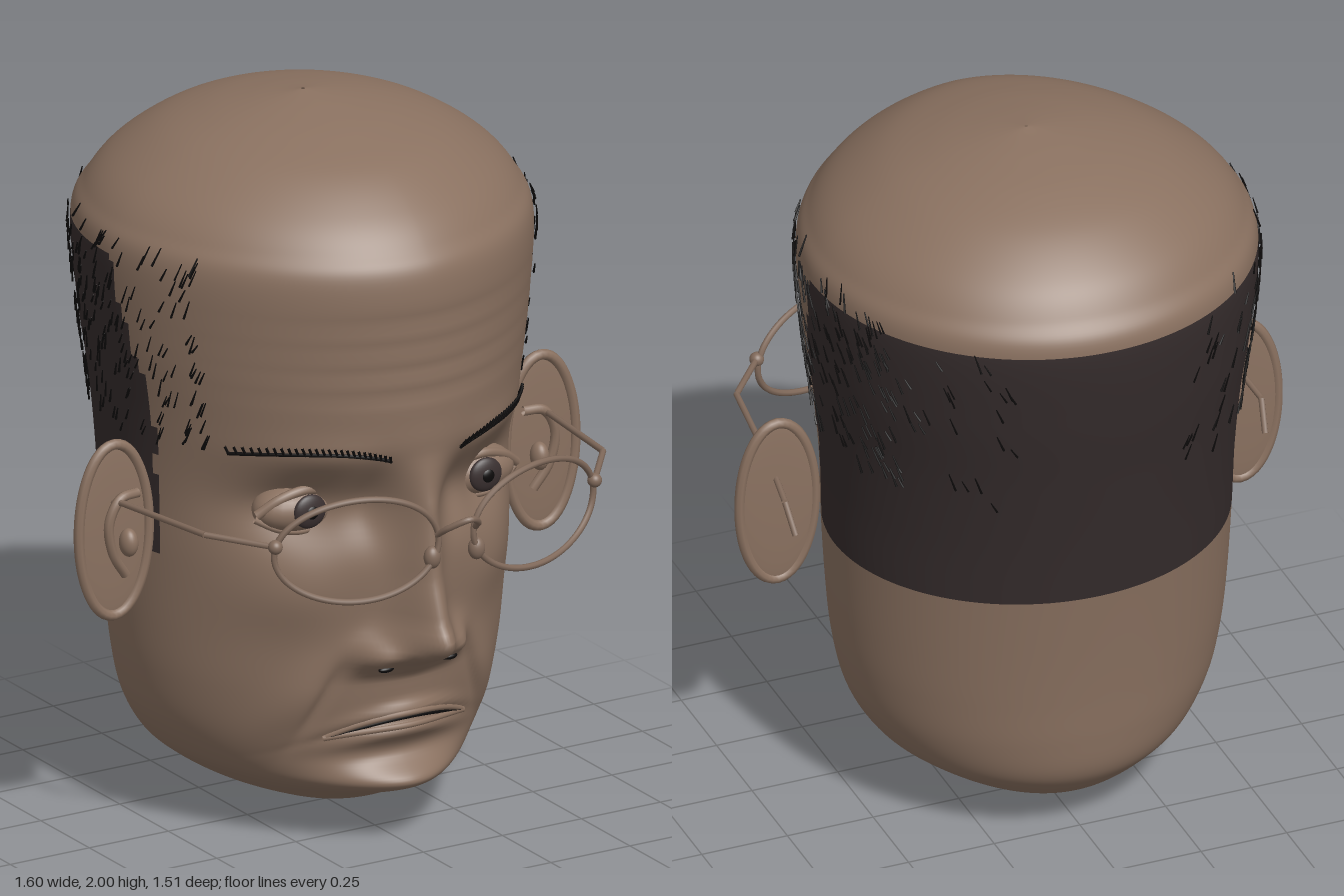
import * as THREE from 'three';
import { mergeGeometries } from 'three/addons/utils/BufferGeometryUtils.js';

const mat = (name, color, side = THREE.FrontSide) => {
  const m = new THREE.MeshStandardMaterial({ color, side });
  m.name = name;
  return m;
};
const V = (x, y, z) => new THREE.Vector3(x, y, z);
const bell = (a, s) => Math.exp(-((a / s) ** 2));

// Head profile from neck to crown: y, half width, front z, back z
const rows = [
  [0, 0.06, -0.02, -0.24], [0.05, 0.18, 0.15, -0.38], [0.1, 0.29, 0.27, -0.48],
  [0.16, 0.385, 0.375, -0.545], [0.22, 0.45, 0.4, -0.58], [0.32, 0.505, 0.41, -0.595],
  [0.45, 0.535, 0.43, -0.605], [0.6, 0.55, 0.445, -0.62], [0.81, 0.56, 0.47, -0.645],
  [1.0, 0.565, 0.48, -0.67], [1.2, 0.58, 0.53, -0.7], [1.42, 0.61, 0.545, -0.735],
  [1.65, 0.625, 0.55, -0.755], [1.74, 0.59, 0.505, -0.71], [1.82, 0.52, 0.43, -0.645],
  [1.9, 0.4, 0.31, -0.53], [1.95, 0.27, 0.16, -0.4], [1.98, 0.14, 0.02, -0.26],
  [2.0, 0.005, -0.115, -0.125],
];
const frontCurve = new THREE.CatmullRomCurve3(rows.map(([y, w, f]) => V(w, y, f)), false, 'catmullrom', 0.5);
const backCurve = new THREE.SplineCurve(rows.map(([y, , , b]) => new THREE.Vector2(b, y)));
const midZ = -0.12, frontPower = 1.85;

// Nose ridge: y, height, half width
const nose = [[0.49, 0, 0.14], [0.54, 0.06, 0.13], [0.59, 0.17, 0.1], [0.63, 0.2, 0.085],
  [0.68, 0.155, 0.075], [0.8, 0.1, 0.065], [1.0, 0.07, 0.055], [1.15, 0.01, 0.08], [1.25, 0, 0.1]];
function noseAt(x, y) {
  for (let i = 1; i < nose.length; i++) {
    const [y0, h0, w0] = nose[i - 1], [y1, h1, w1] = nose[i];
    if (y >= y0 && y <= y1) {
      const k = (y - y0) / (y1 - y0);
      return (h0 + (h1 - h0) * k) * bell(x, w0 + (w1 - w0) * k);
    }
  }
  return 0;
}
const mouthY = x => 0.36 - 0.04 * (x / 0.22) ** 2;

// Facial relief added along z
function relief(x, y) {
  const a = Math.abs(x), m = mouthY(x);
  const fold = a - (0.19 + 0.38 * (0.55 - y)), foldBand = bell(y - 0.43, 0.12);
  const creases = y > 1.3 && y < 1.58 ? Math.cos((y - 1.3) * 2 * Math.PI / 0.07) - 1 : 0;
  return noseAt(x, y)
    + 0.05 * bell(a - 0.13, 0.05) * bell(y - 0.575, 0.045)
    - 0.075 * bell(a - 0.29, 0.14) * bell(y - 0.99, 0.1)
    - 0.03 * bell(a - 0.13, 0.05) * bell(y - 1.0, 0.1)
    + 0.015 * bell(a - 0.26, 0.16) * bell(y - 1.16, 0.05)
    + 0.02 * bell(a - 0.33, 0.12) * bell(y - 0.74, 0.1)
    + 0.06 * bell(x, 0.2) * bell(y - 0.18, 0.045)
    - 0.02 * bell(x, 0.2) * bell(y - 0.26, 0.035)
    + 0.024 * bell(x, 0.15) * bell(y - m - 0.03, 0.02)
    + 0.02 * bell(x, 0.14) * bell(y - m + 0.035, 0.022)
    - 0.015 * bell(x, 0.2) * bell(y - m, 0.012)
    - 0.014 * bell(fold, 0.02) * foldBand
    + 0.02 * bell(fold - 0.06, 0.06) * foldBand
    + 0.003 * creases * bell(x, 0.38);
}

// Point on the head: t runs up the profile, phi turns from front towards +x
function headPoint(t, phi) {
  const p = frontCurve.getPoint(t), b = backCurve.getPoint(t);
  const s = Math.sin(phi), c = Math.cos(phi), n = c > 0 ? frontPower : 2;
  const x = p.x * Math.sign(s) * Math.abs(s) ** (2 / n);
  const r = c > 0 ? p.z - midZ : midZ - b.x;
  const z = midZ + r * Math.sign(c) * Math.abs(c) ** (2 / n);
  return V(x, p.y, z + relief(x, p.y) * THREE.MathUtils.smoothstep(z, 0, 0.2));
}
function tAt(y) {
  let lo = 0, hi = 1;
  for (let i = 0; i < 24; i++) {
    const m = (lo + hi) / 2;
    if (frontCurve.getPoint(m).y < y) lo = m; else hi = m;
  }
  return lo;
}
function facePoint(x, y, lift = 0) {
  const t = tAt(y), w = frontCurve.getPoint(t).x;
  const p = headPoint(t, Math.sign(x) * Math.asin(Math.min(1, (Math.abs(x) / w) ** (frontPower / 2))));
  p.z += lift;
  return p;
}

// Head skin with the shaved hair area as a second material group
function headGeometry() {
  const nr = (rows.length - 1) * 10, seg = 180, pos = [], skin = [], hair = [];
  for (let i = 0; i <= nr; i++) for (let j = 0; j < seg; j++) {
    const u = (j / seg) * Math.PI * 2;
    pos.push(...headPoint(i / nr, u - 0.45 * Math.sin(u)).toArray());
  }
  for (let i = 0; i < nr; i++) for (let j = 0; j < seg; j++) {
    const k = (j + 1) % seg, a = i * seg + j, b = i * seg + k, c = b + seg, d = a + seg;
    const y = (pos[a * 3 + 1] + pos[d * 3 + 1]) / 2, z = (pos[a * 3 + 2] + pos[c * 3 + 2]) / 2;
    const edge = 0.02 - 0.12 * THREE.MathUtils.smoothstep(y, 1.2, 1.68) + 0.008 * Math.sin(y * 40);
    (y > 0.81 && y < 1.65 && z < edge ? hair : skin).push(a, b, c, a, c, d);
  }
  const g = new THREE.BufferGeometry();
  g.setAttribute('position', new THREE.Float32BufferAttribute(pos, 3));
  g.setIndex([...skin, ...hair]);
  g.addGroup(0, skin.length, 0);
  g.addGroup(skin.length, hair.length, 1);
  g.computeVertexNormals();
  return g;
}

const tube = (pts, r, n = 40, closed = false) =>
  new THREE.TubeGeometry(new THREE.CatmullRomCurve3(pts, closed, 'centripetal'), n, r, 8, closed);
function ball(x, y, z, rx, ry = rx, rz = rx) {
  return new THREE.SphereGeometry(1, 28, 18).scale(rx, ry, rz).translate(x, y, z);
}
// Thin straight hair from a to b
function strand(a, b, r) {
  const d = b.clone().sub(a), g = new THREE.CylinderGeometry(r, r * 0.5, d.length(), 4);
  g.applyQuaternion(new THREE.Quaternion().setFromUnitVectors(V(0, 1, 0), d.normalize()));
  return g.translate(...a.clone().add(b).multiplyScalar(0.5).toArray());
}
const rod = (pts, r) => mergeGeometries(pts.slice(1).map((p, i) => strandRod(pts[i], p, r)));
function strandRod(a, b, r) {
  return new THREE.TubeGeometry(new THREE.LineCurve3(a, b), 1, r, 8);
}

export function createModel() {
  const group = new THREE.Group();
  const skin = mat('skin', 0x8a7160, THREE.DoubleSide);
  const hair = mat('shaved hair', 0x352c2c, THREE.DoubleSide);
  const black = mat('black hair', 0x0c0a0a);
  const iris = mat('iris', 0x3a3030);
  const frame = mat('spectacle frame', 0x80695a);
  const add = (name, geo, material) => {
    const m = new THREE.Mesh(geo, material);
    m.name = name;
    group.add(m);
  };
  let seed = 7;
  const rand = () => (seed = (seed * 16807) % 2147483647) / 2147483647;

  add('head', headGeometry(), [skin, hair]);

  for (const s of [1, -1]) {
    const side = s > 0 ? 'left' : 'right';

    // Eyes, lids and irises
    add(side + 'Eye', ball(s * 0.28, 0.985, 0.29, 0.125, 0.07, 0.085), skin);
    add(side + 'Iris', ball(s * 0.278, 0.99, 0.367, 0.05, 0.048, 0.018), iris);
    add(side + 'Pupil', ball(s * 0.278, 0.99, 0.38, 0.02, 0.02, 0.009), black);
    const lid = [0.15, 0.21, 0.28, 0.35, 0.41];
    add(side + 'UpperLid', tube(lid.map(x => V(s * x, 1.045 - 3.6 * (x - 0.28) ** 2, 0.345 - 2.2 * (x - 0.28) ** 2)), 0.014), skin);
    add(side + 'LowerLid', tube(lid.map(x => V(s * x, 0.925 + 2.6 * (x - 0.28) ** 2, 0.335 - 2.2 * (x - 0.28) ** 2)), 0.01), skin);

    // Eyebrow: a thin line with upright hairs
    const browY = x => 1.19 - (x < 0.27 ? 1.1 : 0.6) * (x - 0.27) ** 2;
    const browX = Array.from({ length: 26 }, (_, i) => 0.11 + i * 0.014);
    add(side + 'Eyebrow', mergeGeometries([
      tube(browX.map(x => facePoint(s * x, browY(x) - 0.015, 0.008)), 0.005, 50),
      ...browX.map(x => tube([facePoint(s * x, browY(x) - 0.018, 0.008), facePoint(s * (x + 0.012), browY(x) + 0.008, 0.018)], 0.004, 1)),
    ]), black);

    // Nostril
    const n = facePoint(s * 0.1, 0.535);
    add(side + 'Nostril', ball(n.x, n.y, n.z, 0.024, 0.009, 0.012), black);

    // Ear: flat shell facing forward, raised rim, inner fold and tragus
    const rim = [], shell = ball(s * 0.675, 0.9, 0, 0.115, 0.25, 0.012);
    for (let i = 0; i < 24; i++) {
      const a = (i / 24) * Math.PI * 2;
      rim.push(V(s * (0.675 + 0.11 * Math.cos(a)), 0.9 + 0.245 * Math.sin(a), 0.004));
    }
    add(side + 'Ear', shell, skin);
    add(side + 'EarRim', tube(rim, 0.015, 72, true), skin);
    add(side + 'EarFold', tube([V(s * 0.61, 1.0, 0.02), V(s * 0.67, 0.995, 0.03), V(s * 0.705, 0.93, 0.03),
      V(s * 0.69, 0.84, 0.025), V(s * 0.645, 0.77, 0.015)], 0.014), skin);
    add(side + 'Tragus', ball(s * 0.65, 0.87, 0.04, 0.025, 0.04, 0.03), skin);

    // Spectacle lens rim, hinge, nose pad and temple arm
    const lens = [];
    for (let i = 0; i < 32; i++) {
      const a = (i / 32) * Math.PI * 2, x = 0.28 + 0.225 * Math.cos(a);
      lens.push(V(s * x, 0.96 + 0.145 * Math.sin(a), 0.67 - 0.46 * x * x));
    }
    add(side + 'LensRim', tube(lens, 0.009, 96, true), frame);
    add(side + 'Hinge', ball(s * 0.505, 0.99, 0.56, 0.02), frame);
    add(side + 'NosePad', ball(s * 0.07, 0.91, 0.66, 0.024, 0.032, 0.022), frame);
    add(side + 'TempleArm', rod([V(s * 0.505, 0.99, 0.56), V(s * 0.63, 1.0, 0.4), V(s * 0.675, 0.99, 0.05),
      V(s * 0.695, 0.96, -0.1), V(s * 0.685, 0.88, -0.15)], 0.009), frame);

    // Loose hairs over the side and back of the head
    const hairs = [];
    for (let i = 0; i < 230; i++) {
      const phi = 1.02 + rand() * (i % 3 ? 1.1 : 1.7), y = 1.13 + rand() * 0.55;
      const out = p => { p.x *= 1.012; p.z += 0.012 * Math.cos(phi); return p; };
      const len = 0.025 + rand() * 0.03;
      hairs.push(strand(out(headPoint(tAt(y + len), s * phi)), out(headPoint(tAt(y), s * (phi + 0.03))), 0.0035));
    }
    add(side + 'Hairs', mergeGeometries(hairs), black);
  }

  // Spectacle bridge
  add('bridge', tube([V(-0.06, 0.975, 0.668), V(-0.045, 1.005, 0.71), V(0, 1.03, 0.742), V(0.045, 1.005, 0.71), V(0.06, 0.975, 0.668)], 0.009), frame);

  // Mouth line and lower lip
  const mx = Array.from({ length: 23 }, (_, i) => -0.22 + i * 0.02);
  add('mouthLine', tube(mx.map(x => facePoint(x, mouthY(x), 0.004)), 0.006, 60), black);
  add('lowerLip', tube(mx.map(x => facePoint(x, mouthY(x) - 0.018 * (1 - (x / 0.22) ** 2), 0.002)), 0.009, 60), skin);
  add('upperLip', tube(mx.map(x => facePoint(x, mouthY(x) + 0.024 * (1 - (x / 0.22) ** 2), 0)), 0.009, 60), skin);
  return group;
}
